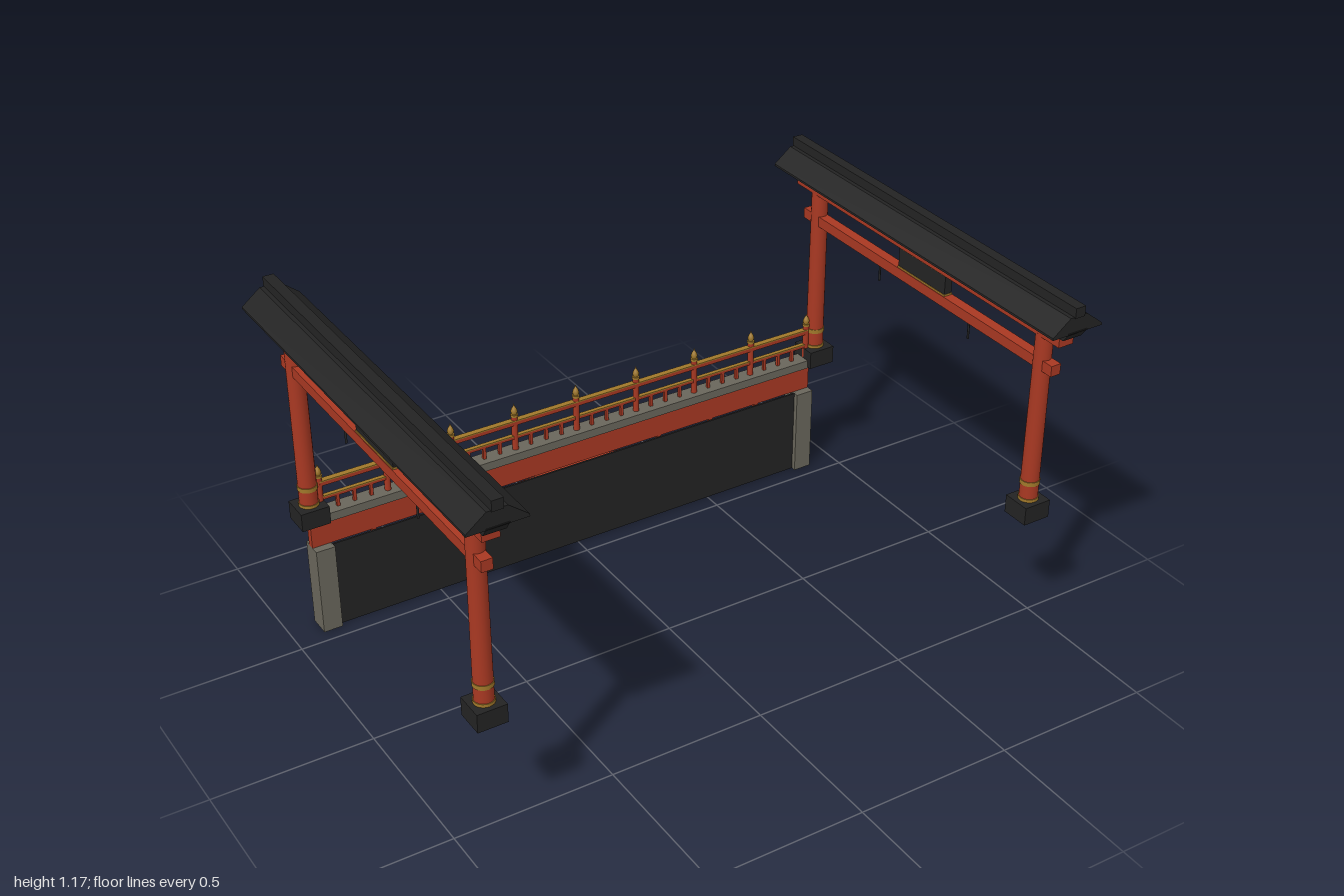
import * as THREE from 'three';

const mat = (name, color) => {
  const m = new THREE.MeshStandardMaterial({ color });
  m.name = name;
  return m;
};

export function createModel() {
  const red = mat('vermilion', 0xa83822);
  const black = mat('charcoal', 0x232323);
  const stone = mat('stone', 0x69665b);
  const gold = mat('brass', 0xa0782a);
  const white = mat('pale lamp', 0xdcd8cc);

  const model = new THREE.Group();
  model.name = 'gatedBridge';

  const add = (parent, name, geo, m, x = 0, y = 0, z = 0) => {
    const mesh = new THREE.Mesh(geo, m);
    mesh.name = name;
    mesh.position.set(x, y, z);
    parent.add(mesh);
    return mesh;
  };
  // box given by its bottom and top height
  const box = (parent, name, m, w, d, y0, y1, x = 0, z = 0) =>
    add(parent, name, new THREE.BoxGeometry(w, y1 - y0, d), m, x, (y0 + y1) / 2, z);
  const cyl = (parent, name, m, rTop, rBottom, y0, y1, x = 0, z = 0, n = 16) =>
    add(parent, name, new THREE.CylinderGeometry(rTop, rBottom, y1 - y0, n), m, x, (y0 + y1) / 2, z);
  // outline in x/y extruded and centred along z
  const extrude = (points, depth) => {
    const shape = new THREE.Shape(points.map(([x, y]) => new THREE.Vector2(x, y)));
    return new THREE.ExtrudeGeometry(shape, { depth, bevelEnabled: false }).translate(0, 0, -depth / 2);
  };

  // ---- gates at both ends ----
  function makeGate() {
    const gate = new THREE.Group();
    gate.name = 'gate';
    for (const z of [-0.549, 0.549]) {
      box(gate, 'columnPlinth', black, 0.091, 0.091, 0.41, 0.469, 0, z);
      cyl(gate, 'column', red, 0.0265, 0.0285, 0.469, 1.03, 0, z, 20);
      cyl(gate, 'columnFootBand', gold, 0.031, 0.031, 0.467, 0.479, 0, z, 20);
      cyl(gate, 'columnRing', gold, 0.0305, 0.0305, 0.524, 0.538, 0, z, 20);
    }
    box(gate, 'tieBeam', red, 0.034, 1.218, 0.914, 0.948);
    box(gate, 'topBeam', red, 0.052, 1.276, 1.024, 1.059);

    // dark bearer with ends that flare outward towards the top
    const bearer = box(gate, 'roofBearer', black, 0.066, 1.32, 1.059, 1.09);
    const p = bearer.geometry.attributes.position;
    for (let i = 0; i < p.count; i++) if (p.getY(i) > 0) p.setZ(i, Math.sign(p.getZ(i)) * 0.682);
    bearer.geometry.computeVertexNormals();

    // roof slopes and ridge
    add(gate, 'roof', extrude([
      [-0.0885, 1.085], [0.0885, 1.085], [0.0885, 1.092], [0.03, 1.138], [-0.03, 1.138], [-0.0885, 1.092],
    ], 1.358), black);
    box(gate, 'roofRidge', black, 0.034, 1.366, 1.135, 1.167);

    // plaque and hanging rods
    box(gate, 'plaque', black, 0.026, 0.226, 0.95, 1.02);
    box(gate, 'plaqueTopTrim', gold, 0.03, 0.228, 1.015, 1.021);
    box(gate, 'plaqueBottomTrim', gold, 0.03, 0.228, 0.948, 0.954);
    for (const z of [-0.22, 0.22]) cyl(gate, 'hangingRod', black, 0.0035, 0.0035, 0.852, 0.916, 0, z, 8);
    return gate;
  }
  for (const side of [-1, 1]) {
    const gate = makeGate();
    gate.position.x = side * 0.9105;
    model.add(gate);
  }

  // ---- bridge side ----
  const bridge = new THREE.Group();
  bridge.name = 'bridgeSide';
  model.add(bridge);
  for (const s of [-1, 1]) box(bridge, 'stonePier', stone, 0.062, 0.072, 0, 0.295, s * 0.875, -0.579);
  box(bridge, 'darkPanel', black, 1.7, 0.006, 0, 0.295, 0, -0.562);
  box(bridge, 'girder', red, 1.812, 0.025, 0.295, 0.41, 0, -0.5825);
  box(bridge, 'deckEdge', stone, 1.812, 0.058, 0.405, 0.433, 0, -0.549);
  for (let i = 0; i < 13; i++) box(bridge, 'lamp', white, 0.024, 0.008, 0.34, 0.364, (i - 6) * 0.137, -0.597);

  // arch rib with struts up to the girder
  const archY = x => 0.262 - 0.205 * Math.pow(Math.abs(x) / 0.81, 2.5);
  const outer = [], inner = [];
  for (let i = 0; i <= 32; i++) {
    const x = -0.81 + (1.62 * i) / 32;
    const slope = (archY(x + 0.001) - archY(x - 0.001)) / 0.002;
    const l = Math.hypot(1, slope), h = 0.018;
    outer.push([x - (slope / l) * h, archY(x) + h / l]);
    inner.unshift([x + (slope / l) * h, archY(x) - h / l]);
  }
  add(bridge, 'archRib', extrude([...outer, ...inner], 0.03), red, 0, 0, -0.579);
  for (const x of [0.32, 0.52, 0.7])
    for (const s of [-1, 1]) box(bridge, 'archStrut', red, 0.014, 0.014, archY(x), 0.296, s * x, -0.58);

  // ---- railing ----
  const railing = new THREE.Group();
  railing.name = 'railing';
  railing.position.z = -0.549;
  bridge.add(railing);
  const rail = (name, y0, y1, d) => {
    box(railing, name, red, 1.75, d, y0, y1);
    box(railing, name + 'Trim', gold, 1.75, d, y1, y1 + 0.004);
  };
  rail('topRail', 0.522, 0.534, 0.02);
  rail('lowerRail', 0.472, 0.48, 0.014);
  const pitch = 0.2185;
  for (let i = 0; i < 9; i++) {
    const x = (i - 4) * pitch;
    cyl(railing, 'railPost', red, 0.01, 0.01, 0.43, 0.556, x, 0, 12);
    cyl(railing, 'postCollar', gold, 0.012, 0.012, 0.55, 0.558, x, 0, 12);
    add(railing, 'postFinial', new THREE.LatheGeometry(
      [[0.007, 0], [0.011, 0.01], [0.008, 0.02], [0.003, 0.029], [0, 0.038]].map(([r, y]) => new THREE.Vector2(r, y)), 12),
      gold, x, 0.557, 0);
    if (i < 8) for (let k = 1; k < 4; k++)
      box(railing, 'baluster', red, 0.01, 0.01, 0.432, 0.473, x + (k * pitch) / 4);
  }
  return model;
}
